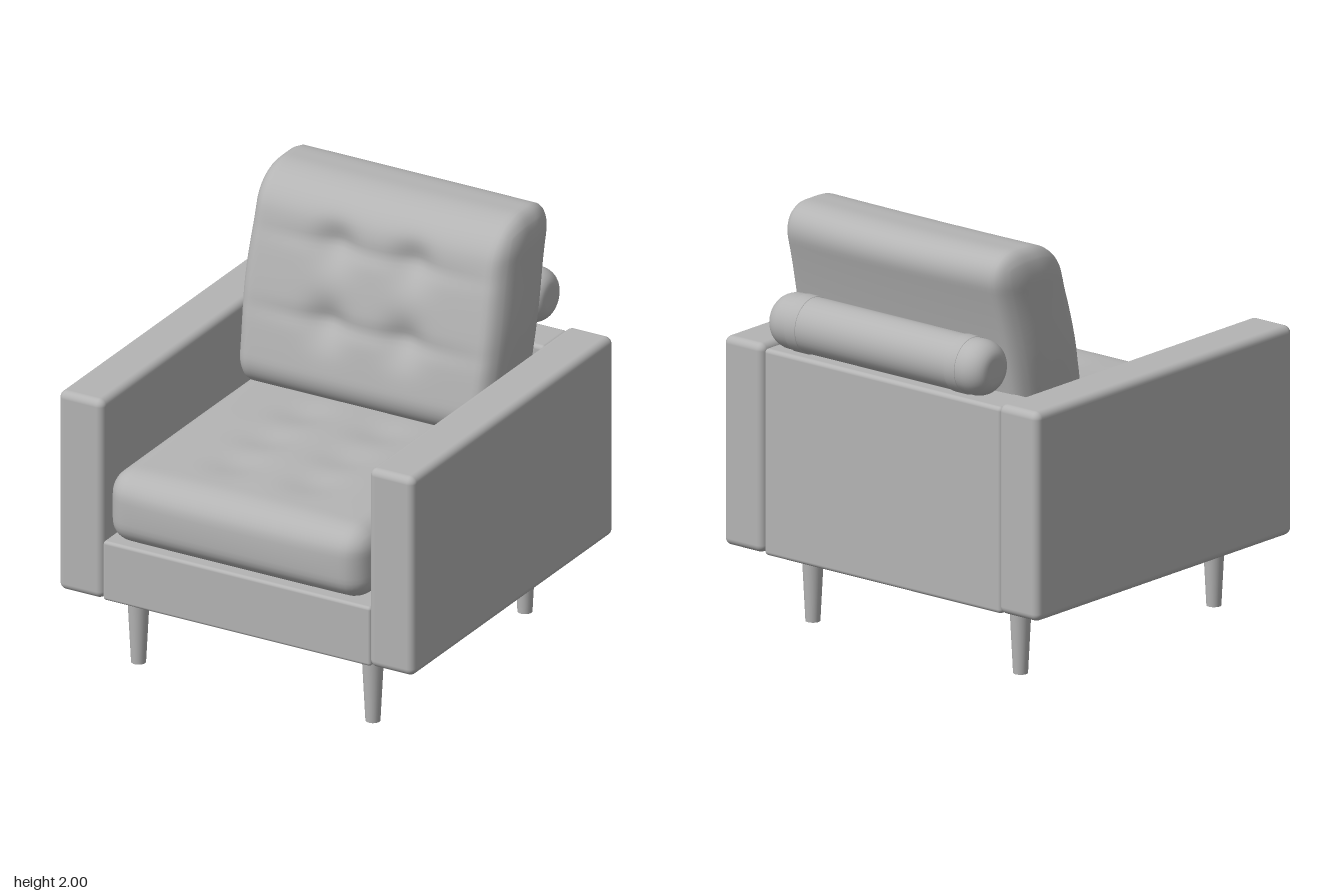
import * as THREE from 'three';
import { mergeVertices } from 'three/addons/utils/BufferGeometryUtils.js';
import { RoundedBoxGeometry } from 'three/addons/geometries/RoundedBoxGeometry.js';

const fabric = new THREE.MeshStandardMaterial({ color: 0xb4b4b4 });
fabric.name = 'grey fabric';

function add(parent, name, geometry, x = 0, y = 0, z = 0) {
  const mesh = new THREE.Mesh(geometry, fabric);
  mesh.name = name;
  mesh.position.set(x, y, z);
  parent.add(mesh);
  return mesh;
}

// Rounded box given by its lower and upper limits
function block(parent, name, [x0, y0, z0], [x1, y1, z1], radius) {
  const geometry = new RoundedBoxGeometry(x1 - x0, y1 - y0, z1 - z0, 4, radius);
  return add(parent, name, geometry, (x0 + x1) / 2, (y0 + y1) / 2, (z0 + z1) / 2);
}

// Finely divided box with elliptical edges, reshaped by a rule
function cushion(half, radii, segments, reshape) {
  let geometry = new THREE.BoxGeometry(half[0] * 2, half[1] * 2, half[2] * 2, ...segments);
  geometry.deleteAttribute('normal');
  geometry.deleteAttribute('uv');
  geometry = mergeVertices(geometry, 1e-4);
  const pos = geometry.attributes.position;
  const h = new THREE.Vector3(...half);
  const r = new THREE.Vector3(...radii);
  const inner = h.clone().sub(r);
  const p = new THREE.Vector3();
  for (let i = 0; i < pos.count; i++) {
    p.fromBufferAttribute(pos, i);
    const core = p.clone().clamp(inner.clone().negate(), inner);
    p.sub(core).divide(r).normalize().multiply(r).add(core);
    reshape(p);
    pos.setXYZ(i, p.x, p.y, p.z);
  }
  geometry.computeVertexNormals();
  return geometry;
}

const bump = (a, b, size) => Math.exp(-(a * a + b * b) / (size * size));

// Soft pull around each button position
function tufts(a, b, rows, size) {
  let sum = 0;
  for (const row of rows) for (const s of [-0.2, 0.2]) sum += bump(a - s, b - row, size);
  return sum;
}

export function createModel() {
  const chair = new THREE.Group();
  chair.name = 'armchair';

  // Frame
  for (const [name, side] of [['leftArm', 1], ['rightArm', -1]]) {
    const arm = add(chair, name, new RoundedBoxGeometry(0.235, 0.985, 1.78, 4, 0.035), side * 0.811, 0.8475, 0.02);
    arm.userData.side = side;
  }
  block(chair, 'frontRail', [-0.7, 0.352, 0.66], [0.7, 0.645, 0.9], 0.015);
  block(chair, 'seatPlatform', [-0.7, 0.352, -0.66], [0.7, 0.645, 0.665], 0.008);
  block(chair, 'backPanel', [-0.7, 0.347, -0.855], [0.7, 1.32, -0.64], 0.02);

  // Seat cushion: crowned, with shallow tufts on top
  add(chair, 'seatCushion', cushion([0.68, 0.175, 0.775], [0.11, 0.11, 0.13], [44, 14, 48], (p) => {
    const u = p.x / 0.68, v = p.z / 0.775, w = p.y / 0.175;
    if (p.y > 0) {
      p.y += 0.03 * w * (1 - u * u) * (1 - v * v);
      p.y -= 0.018 * w * tufts(p.x, p.z, [-0.2, 0.12, 0.4], 0.12);
    }
    if (p.z > 0) p.z += 0.02 * v * (1 - w * w) * (1 - u * u * u * u) - 0.01 * v;
  }), 0, 0.825, 0.165);

  // Back cushion: leaning and curving rearwards, with four buttoned tufts
  add(chair, 'backCushion', cushion([0.685, 0.51, 0.22], [0.085, 0.17, 0.18], [52, 44, 18], (p) => {
    const u = p.x / 0.685, w = p.z / 0.22, y = p.y + 1.49, t = y - 1;
    p.x *= 1 + 0.008 * Math.cos(p.y * 9);
    if (p.z > 0) {
      p.z += w * 0.012 * (1 - u * u);
      p.z -= w * 0.045 * tufts(p.x, y, [1.39, 1.74], 0.1);
      p.z -= w * 0.012 * (bump(0, y - 1.39, 0.04) + bump(0, y - 1.74, 0.04)) * (1 - u * u);
    } else {
      p.z += w * 0.025 * (1 - u * u);
    }
    p.z += -0.39 - 0.12 * t - 0.1 * t * t;
    p.y = y - 0.008 * Math.max(0, t - 0.8) * 5 * (1 - u * u);
  }));

  // Bolster lying on the back panel, with a raised band near each end
  const bolster = new THREE.Group();
  bolster.name = 'bolster';
  bolster.position.set(-0.005, 1.475, -0.82);
  bolster.rotation.z = Math.PI / 2;
  chair.add(bolster);
  const profile = [new THREE.Vector2(0, -0.635)];
  for (const end of [-1, 1]) {
    for (let i = 0; i <= 8; i++) {
      const a = (end < 0 ? i : 8 - i) / 8 * Math.PI / 2;
      profile.push(new THREE.Vector2(0.055 + 0.075 * Math.sin(a), end * (0.54 + 0.095 * Math.cos(a))));
    }
  }
  profile.push(new THREE.Vector2(0, 0.635));
  add(bolster, 'bolsterRoll', new THREE.LatheGeometry(profile, 40));
  for (const s of [-1, 1]) {
    const band = [[0.128, -0.031], [0.134, -0.03], [0.134, 0.03], [0.128, 0.031]].map((q) => new THREE.Vector2(...q));
    add(bolster, 'bolsterBand', new THREE.LatheGeometry(band, 40), 0, s * 0.47, 0);
  }

  // Tapered legs
  for (const x of [-0.612, 0.612]) {
    for (const z of [0.73, -0.615]) {
      add(chair, z > 0 ? 'frontLeg' : 'backLeg', new THREE.CylinderGeometry(0.053, 0.034, 0.37, 24), x, 0.185, z);
    }
  }
  return chair;
}
